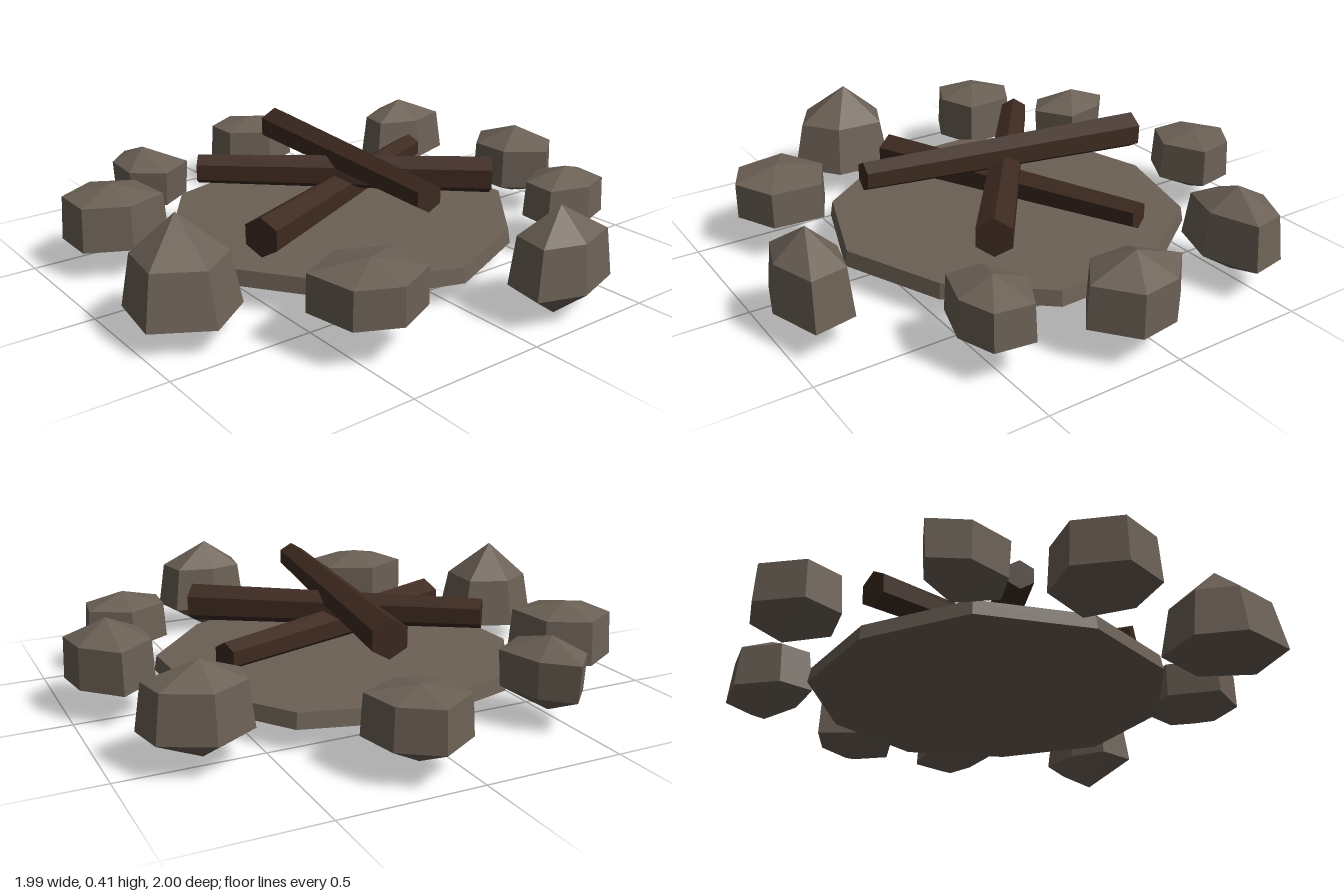
import * as THREE from 'three';

const stoneGrey = new THREE.MeshStandardMaterial({ color: 0x6b6055 });
const charredWood = new THREE.MeshStandardMaterial({ color: 0x3d2a20 });

function flatMesh(name, geometry, material) {
  const flat = geometry.index ? geometry.toNonIndexed() : geometry;
  flat.computeVertexNormals();
  const mesh = new THREE.Mesh(flat, material);
  mesh.name = name;
  return mesh;
}

// Faceted rock: a lower and an upper ring following one outline, closed by two peaks.
// outline: x, z pairs, clockwise from the back; heights: bottom, lower ring, upper ring, top.
function rock(name, x, z, heights, lowerScale, upperScale, outline) {
  const n = outline.length / 2;
  const [bottom, low, high, top] = heights;
  const positions = [0, bottom, 0, 0, top, 0];
  const index = [];
  for (let i = 0; i < n; i++) {
    const px = outline[2 * i], pz = outline[2 * i + 1];
    positions.push(px * lowerScale, low, pz * lowerScale);
    positions.push(px * upperScale, high, pz * upperScale);
    const a = 2 + 2 * i, b = 2 + 2 * ((i + 1) % n);
    index.push(0, a, b, a, a + 1, b + 1, a, b + 1, b, a + 1, 1, b + 1);
  }
  const geometry = new THREE.BufferGeometry();
  geometry.setAttribute('position', new THREE.Float32BufferAttribute(positions, 3));
  geometry.setIndex(index);
  const mesh = flatMesh(name, geometry, stoneGrey);
  mesh.position.set(x, 0, z);
  return mesh;
}

// Six-sided tapered log between two points
function log(name, from, to, rFrom, rTo) {
  const a = new THREE.Vector3(...from), b = new THREE.Vector3(...to);
  const geometry = new THREE.CylinderGeometry(rTo, rFrom, a.distanceTo(b), 6);
  geometry.rotateX(Math.PI / 2);
  const mesh = flatMesh(name, geometry, charredWood);
  mesh.position.copy(a).add(b).multiplyScalar(0.5);
  mesh.lookAt(b);
  return mesh;
}

export function createModel() {
  const model = new THREE.Group();
  model.name = 'campfire';

  // Flat ten-sided hearth
  model.add(rock('hearthSlab', 0.025, 0, [0.06, 0.08, 0.135, 0.14], 1, 0.985, [
    0, -0.655, 0.39, -0.545, 0.62, -0.21, 0.63, 0.195, 0.37, 0.5,
    0, 0.655, -0.385, 0.525, -0.625, 0.195, -0.635, -0.205, -0.4, -0.545]));

  // Crossed logs
  model.add(
    log('topLog', [0.087, 0.335, -0.55], [-0.04, 0.362, 0.535], 0.07, 0.052),
    log('middleLog', [-0.4, 0.3, -0.34], [0.455, 0.28, 0.325], 0.055, 0.07),
    log('lowerLog', [-0.48, 0.22, 0.2], [0.53, 0.24, -0.22], 0.072, 0.05));

  // Ring of stones: x, z, heights, ring scales, outline
  const stones = new THREE.Group();
  stones.name = 'stoneRing';
  stones.add(
    rock('backStone', 0.14, -0.84, [0.04, 0.12, 0.26, 0.29], 1, 0.95,
      [0, -0.16, 0.13, -0.07, 0.16, 0.085, 0, 0.165, -0.15, 0.08, -0.15, -0.07]),
    rock('backRightStone', -0.455, -0.68, [0.045, 0.12, 0.25, 0.31], 0.95, 1,
      [0, -0.165, 0.1, -0.07, 0.14, 0.1, 0, 0.19, -0.11, 0.1, -0.1, -0.065]),
    rock('rightRearStone', -0.75, -0.36, [0.05, 0.11, 0.27, 0.31], 1, 0.94,
      [0, -0.18, 0.15, -0.095, 0.165, 0.11, 0, 0.165, -0.155, 0.085, -0.155, -0.09]),
    rock('backLeftStone', 0.71, -0.5, [0.03, 0.12, 0.28, 0.35], 1, 0.88,
      [0, -0.15, 0.165, -0.065, 0.19, 0.075, 0, 0.14, -0.175, 0.075, -0.155, -0.06]),
    rock('leftStone', 0.85, 0.07, [0.06, 0.12, 0.27, 0.34], 1, 0.96,
      [0, -0.2, 0.12, -0.075, 0.14, 0.075, 0, 0.185, -0.14, 0.075, -0.14, -0.085]),
    rock('frontLeftStone', 0.685, 0.485, [0.07, 0.13, 0.26, 0.31], 1, 0.95,
      [0, -0.14, 0.15, -0.06, 0.13, 0.08, 0, 0.125, -0.16, 0.075, -0.15, -0.06]),
    rock('frontStone', 0.22, 0.87, [0, 0.11, 0.28, 0.38], 1, 0.87,
      [0, -0.12, 0.16, -0.08, 0.19, 0.07, 0, 0.13, -0.165, 0.075, -0.14, -0.08]),
    rock('frontRightStone', -0.415, 0.7, [0.08, 0.14, 0.27, 0.31], 0.98, 0.97,
      [0, -0.185, 0.175, -0.1, 0.16, 0.09, 0, 0.165, -0.145, 0.095, -0.18, -0.095]),
    rock('rightStone', -0.81, 0.23, [0.08, 0.09, 0.27, 0.4], 1, 0.82,
      [0, -0.18, 0.175, -0.105, 0.165, 0.115, 0, 0.235, -0.185, 0.125, -0.155, -0.095]));
  model.add(stones);

  return model;
}
